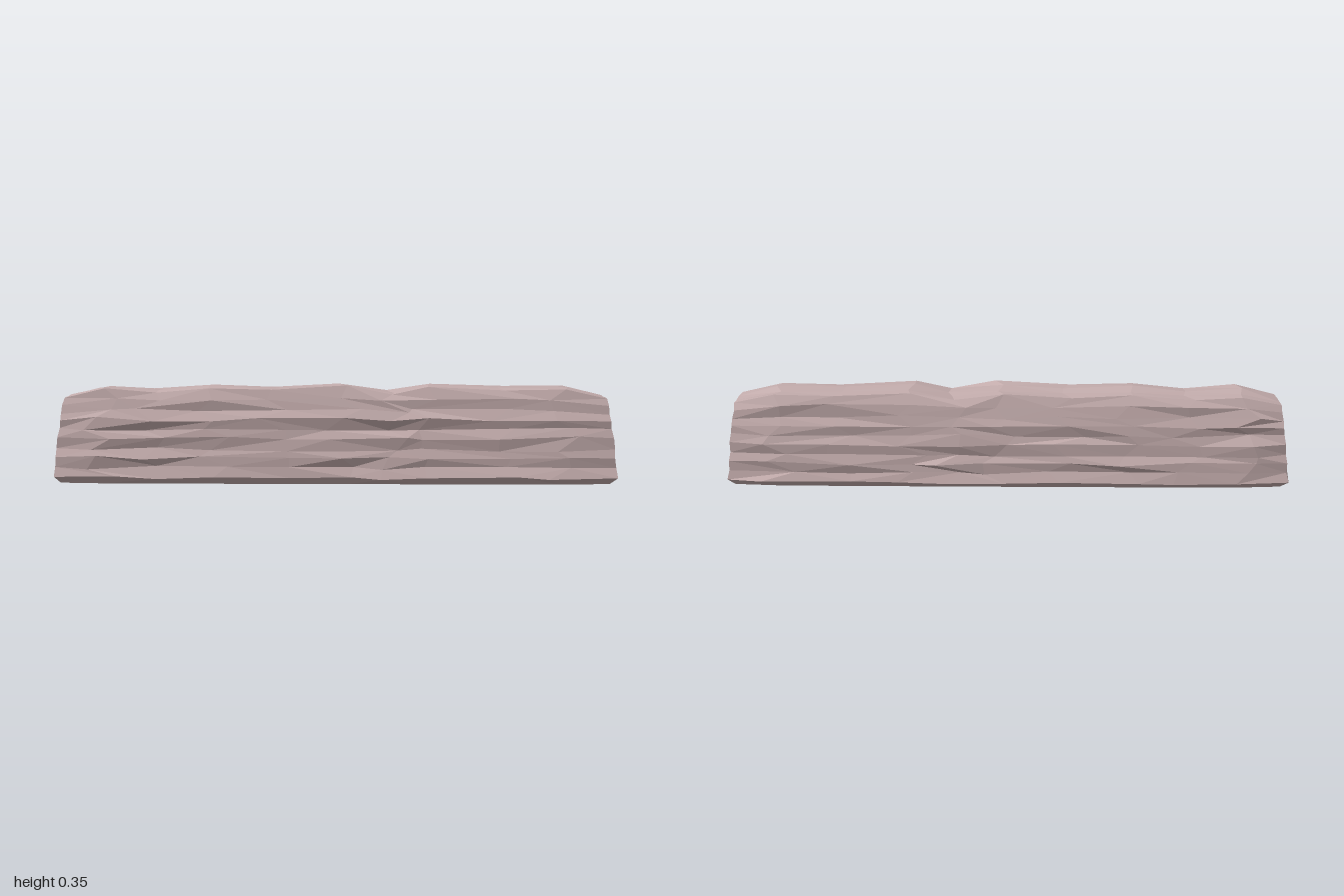
import * as THREE from 'three';

// Small seeded generator, values from -1 to 1
function seeded(seed) {
  let s = seed;
  return () => {
    s = (s * 16807) % 2147483647;
    return (s / 2147483647) * 2 - 1;
  };
}

export function createModel() {
  const rand = seeded(4711);

  // Half cross-section of the wall: [z, y, jitter], bottom to top edge
  const side = [
    [0.088, 0.003, 0], [0.113, 0.028, 0.004], [0.102, 0.062, 0.006], [0.108, 0.098, 0.006],
    [0.097, 0.128, 0.006], [0.101, 0.168, 0.006], [0.091, 0.200, 0.006], [0.096, 0.235, 0.006],
    [0.085, 0.263, 0.006], [0.081, 0.303, 0.005], [0.067, 0.334, 0.004],
  ];
  const section = [
    ...side,
    [0.024, 0.333, 0.006], [-0.026, 0.332, 0.006],
    ...side.map(([z, y, j]) => [-z, y, j]).reverse(),
  ];

  // Stations along the wall: [x, height of the uneven crest]
  const stations = [
    [-0.99, 0.304], [-0.83, 0.335], [-0.64, 0.325], [-0.43, 0.343], [-0.21, 0.335],
    [0.03, 0.346], [0.2, 0.321], [0.33, 0.345], [0.59, 0.335], [0.81, 0.335], [0.99, 0.304],
  ];
  const last = stations.length - 1;
  const n = section.length;

  // Rings of weathered stone, with sloping narrower ends
  const positions = [];
  stations.forEach(([sx, crest], i) => {
    const end = i === 0 || i === last;
    section.forEach(([z, y, jitter]) => {
      const top = y > 0.32;
      const base = y < 0.01;
      let px = sx, py = y, pz = z;
      if (end) {
        px = Math.sign(sx) * (base ? 0.972 : 0.998 - y * 0.12) + rand() * 0.003;
        py = y > 0.2 ? 0.2 + (y - 0.2) * 0.78 : y;
        pz = z * 0.88 + (base ? 0 : rand() * 0.003);
      } else {
        // Staggered vertices give long, slanting cracks
        px += base || top ? rand() * 0.02 : rand() * 0.065;
        py = top ? crest + rand() * 0.005 : y + rand() * jitter * 1.3;
        pz = z + rand() * jitter * 1.2;
        pz *= 1 + 0.04 * (1 - sx * sx);
      }
      positions.push(px, py, THREE.MathUtils.clamp(pz, -0.12, 0.12));
    });
  });

  // Skin between neighbouring rings, underside included
  const index = [];
  for (let i = 0; i < last; i++) {
    for (let j = 0; j < n; j++) {
      const k = (j + 1) % n;
      const a = i * n + j, b = a + n, c = i * n + k, d = c + n;
      if (rand() > 0) index.push(a, b, d, a, d, c);
      else index.push(a, b, c, b, d, c);
    }
  }

  // Broken ends: a chipped hollow on one, a slight bulge on the other
  const left = positions.length / 3;
  positions.push(0.935, 0.23, 0, -0.985, 0.17, 0.005);
  for (let j = 0; j < n; j++) {
    const k = (j + 1) % n;
    index.push(left, last * n + k, last * n + j);
    index.push(left + 1, j, k);
  }

  const indexed = new THREE.BufferGeometry();
  indexed.setAttribute('position', new THREE.Float32BufferAttribute(positions, 3));
  indexed.setIndex(index);
  const geometry = indexed.toNonIndexed();
  geometry.computeVertexNormals();

  const stone = new THREE.Mesh(
    geometry,
    new THREE.MeshStandardMaterial({ color: 0xc4adad, flatShading: true }),
  );
  stone.name = 'stoneWall';

  const group = new THREE.Group();
  group.name = 'rockWall';
  group.add(stone);
  return group;
}
